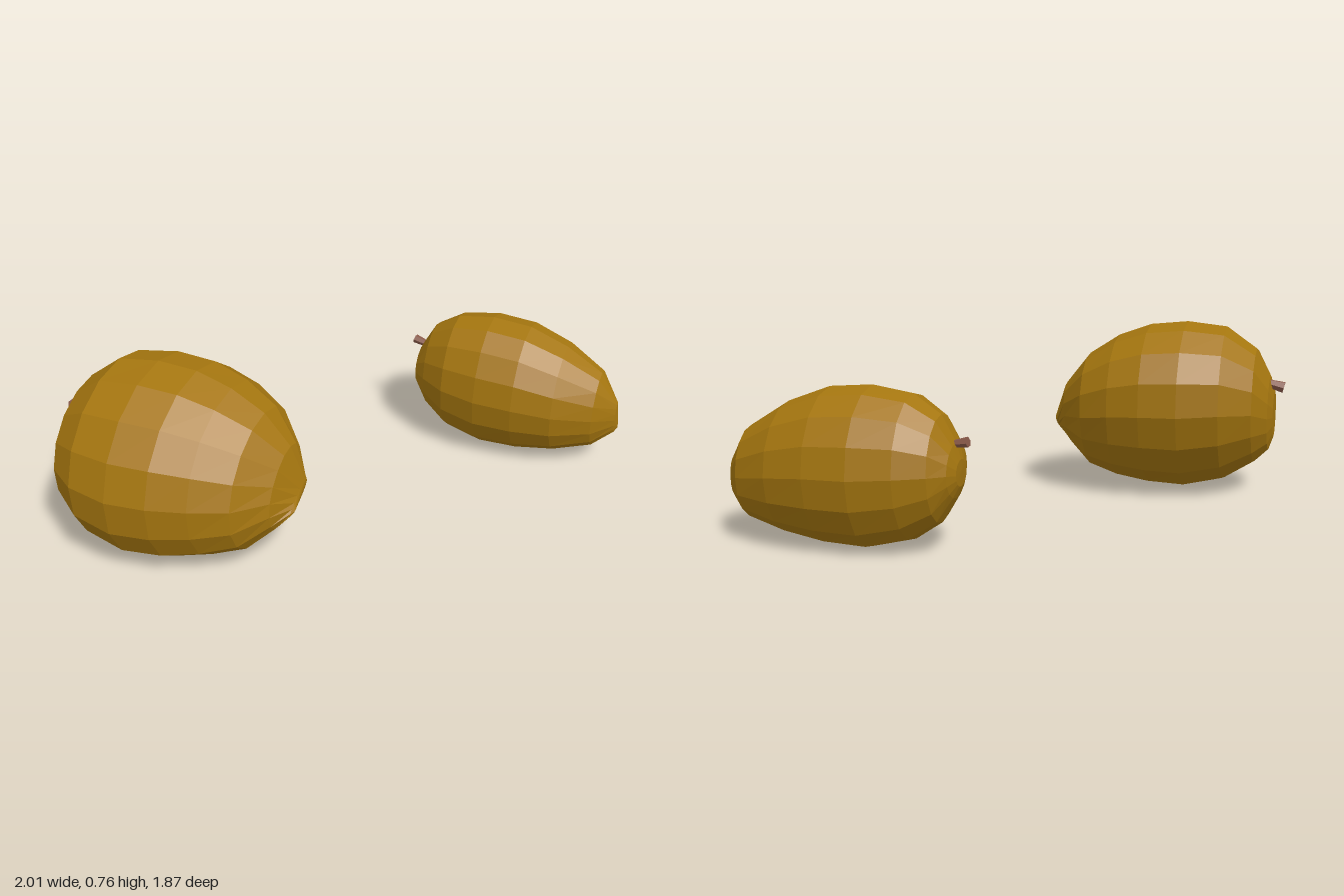
import * as THREE from 'three';

const SIDES = 16;

// Skin through oval sections [x, yLow, yHigh, zLow, zHigh, lean] running along x.
// Lean skews an oval so that its long diagonal tilts.
function skin(sections) {
  const pos = [], index = [];
  sections.forEach(([x, y0, y1, z0, z1, lean = 0]) => {
    for (let j = 0; j < SIDES; j++) {
      const t = (j / SIDES) * Math.PI * 2;
      pos.push(x, (y0 + y1) / 2 + (y1 - y0) / 2 * Math.cos(t),
        (z0 + z1) / 2 + (z1 - z0) / 2 * Math.sin(t + lean));
    }
  });
  const last = sections.length - 2;
  for (let i = 0; i <= last; i++) {
    for (let j = 0; j < SIDES; j++) {
      const k = (j + 1) % SIDES;
      const a = i * SIDES + j, b = i * SIDES + k, c = a + SIDES, d = b + SIDES;
      if (i > 0) index.push(a, b, c);      // first and last sections are points
      if (i < last) index.push(b, d, c);
    }
  }
  const geo = new THREE.BufferGeometry();
  geo.setAttribute('position', new THREE.Float32BufferAttribute(pos, 3));
  geo.setIndex(index);
  const flat = geo.toNonIndexed();
  flat.computeVertexNormals();
  return flat;
}

// Short faceted stalk, flared at its outer end
function stalk(base, tip, radius, material) {
  const a = new THREE.Vector3(...base), b = new THREE.Vector3(...tip);
  const dir = b.clone().sub(a);
  const mesh = new THREE.Mesh(
    new THREE.CylinderGeometry(radius, radius * 0.7, dir.length(), 6), material);
  mesh.position.copy(a).add(b).multiplyScalar(0.5);
  mesh.quaternion.setFromUnitVectors(new THREE.Vector3(0, 1, 0), dir.normalize());
  mesh.name = 'stem';
  return mesh;
}

export function createModel() {
  const peel = new THREE.MeshStandardMaterial({ color: 0xa5760f, flatShading: true });
  peel.name = 'golden brown peel';
  const wood = new THREE.MeshStandardMaterial({ color: 0x8a5a4a, flatShading: true });
  wood.name = 'reddish brown stem';

  const fruits = [
    {
      name: 'largeFruit',
      sections: [
        [-0.962, 0.36, 0.36, 0.57, 0.57],
        [-0.96, 0.25, 0.46, 0.47, 0.69, -0.15],
        [-0.94, 0.19, 0.53, 0.40, 0.74, -0.15],
        [-0.88, 0.13, 0.65, 0.295, 0.83, -0.15],
        [-0.75, 0.045, 0.745, 0.205, 0.915, -0.15],
        [-0.58, 0.005, 0.765, 0.163, 0.937, -0.15],
        [-0.42, 0.015, 0.75, 0.16, 0.91, -0.15],
        [-0.28, 0.043, 0.70, 0.185, 0.85, -0.15],
        [-0.15, 0.088, 0.615, 0.245, 0.765, -0.2],
        [-0.05, 0.185, 0.485, 0.355, 0.64, -0.4],
        [0, 0.245, 0.33, 0.41, 0.56, -1],
        [0.01, 0.26, 0.26, 0.54, 0.54],
      ],
      stem: [[-0.93, 0.50, 0.525], [-1, 0.483, 0.525], 0.026],
    },
    {
      name: 'smallFruit',
      sections: [
        [0.054, 0.32, 0.32, -0.695, -0.695],
        [0.056, 0.26, 0.36, -0.75, -0.64],
        [0.075, 0.215, 0.42, -0.80, -0.58],
        [0.13, 0.12, 0.52, -0.855, -0.53],
        [0.24, 0.045, 0.59, -0.905, -0.46],
        [0.40, 0.005, 0.615, -0.938, -0.428],
        [0.57, 0.012, 0.602, -0.935, -0.43],
        [0.74, 0.04, 0.54, -0.90, -0.465],
        [0.90, 0.085, 0.44, -0.825, -0.56],
        [0.985, 0.16, 0.31, -0.72, -0.66],
        [1, 0.19, 0.19, -0.69, -0.69],
      ],
      stem: [[0.09, 0.413, -0.69], [0.028, 0.425, -0.697], 0.02],
    },
  ];

  const model = new THREE.Group();
  model.name = 'fruitPair';
  for (const { name, sections, stem } of fruits) {
    const fruit = new THREE.Group();
    fruit.name = name;
    const body = new THREE.Mesh(skin(sections), peel);
    body.name = 'fruitBody';
    fruit.add(body, stalk(...stem, wood));
    model.add(fruit);
  }
  return model;
}
